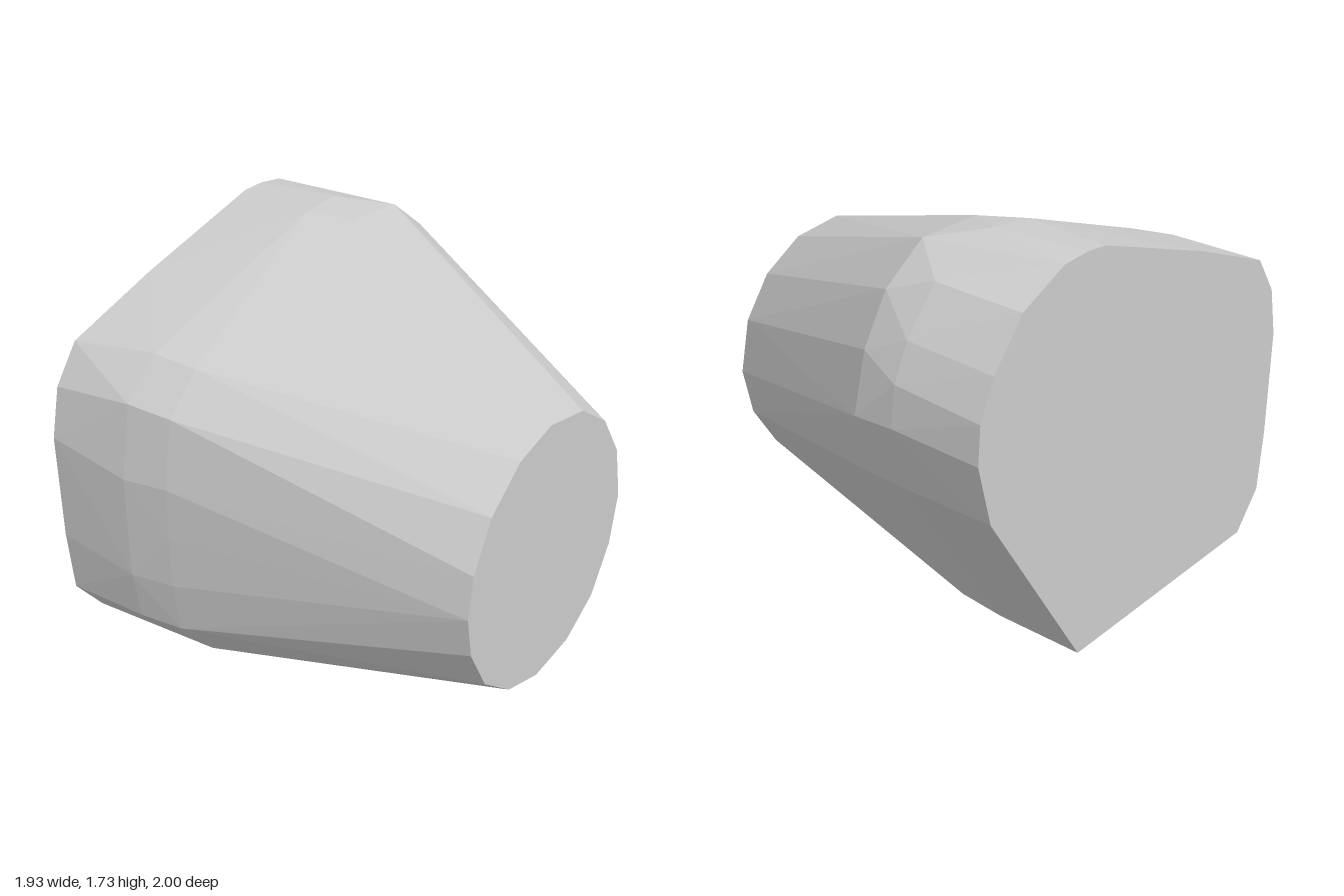
import * as THREE from 'three';
import { ConvexGeometry } from 'three/addons/geometries/ConvexGeometry.js';

// Cross-sections along x, each a loop of [z, y] points
const sections = [
  // wide end cap
  { x: -0.965, loop: [[0.99, 0.98], [0.94, 1.2], [0.82, 1.365], [0.36, 1.525], [-0.29, 1.715], [-0.4, 1.72],
    [-0.53, 1.705], [-0.76, 1.59], [-0.91, 1.4], [-0.98, 1.24], [-0.99, 1.08], [-0.92, 0.82],
    [-0.37, 0], [0.82, 0.05], [0.96, 0.22], [0.985, 0.5], [0.988, 0.76]] },
  // widest ring
  { x: -0.555, loop: [[1, 0.92], [0.94, 1.24], [0.77, 1.4], [-0.225, 1.715], [-0.43, 1.73],
    [-0.76, 1.605], [-0.91, 1.42], [-0.98, 1.27], [-1, 1.1], [-0.92, 0.82],
    [-0.37, 0], [0.77, 0.035], [0.965, 0.235], [1, 0.46], [1, 0.7]] },
  // shoulder where the taper begins
  { x: -0.345, loop: [[0.975, 0.93], [0.92, 1.225], [0.76, 1.385], [-0.3, 1.7], [-0.6, 1.685],
    [-0.8, 1.535], [-0.92, 1.33], [-0.98, 1.08], [-0.9, 0.81],
    [-0.37, 0.02], [0.76, 0.03], [0.945, 0.24], [0.975, 0.47], [0.978, 0.7]] },
  // small rounded end cap
  { x: 0.962, loop: [[0.2, 1.3], [-0.05, 1.26], [-0.25, 1.13], [-0.38, 0.94], [-0.43, 0.7], [-0.38, 0.48],
    [-0.25, 0.28], [-0.05, 0.16], [0.2, 0.125], [0.42, 0.185], [0.61, 0.33], [0.72, 0.53],
    [0.75, 0.71], [0.72, 0.89], [0.61, 1.09], [0.42, 1.24]] },
];

export function createModel() {
  const group = new THREE.Group();
  group.name = 'taperedBlock';

  const grey = new THREE.MeshStandardMaterial({ color: 0xcccccc });
  grey.name = 'light grey';

  // Faceted convex skin stretched over the cross-sections
  const points = sections.flatMap(({ x, loop }) => loop.map(([z, y]) => new THREE.Vector3(x, y, z)));
  const body = new THREE.Mesh(new ConvexGeometry(points), grey);
  body.name = 'body';
  group.add(body);
  return group;
}
